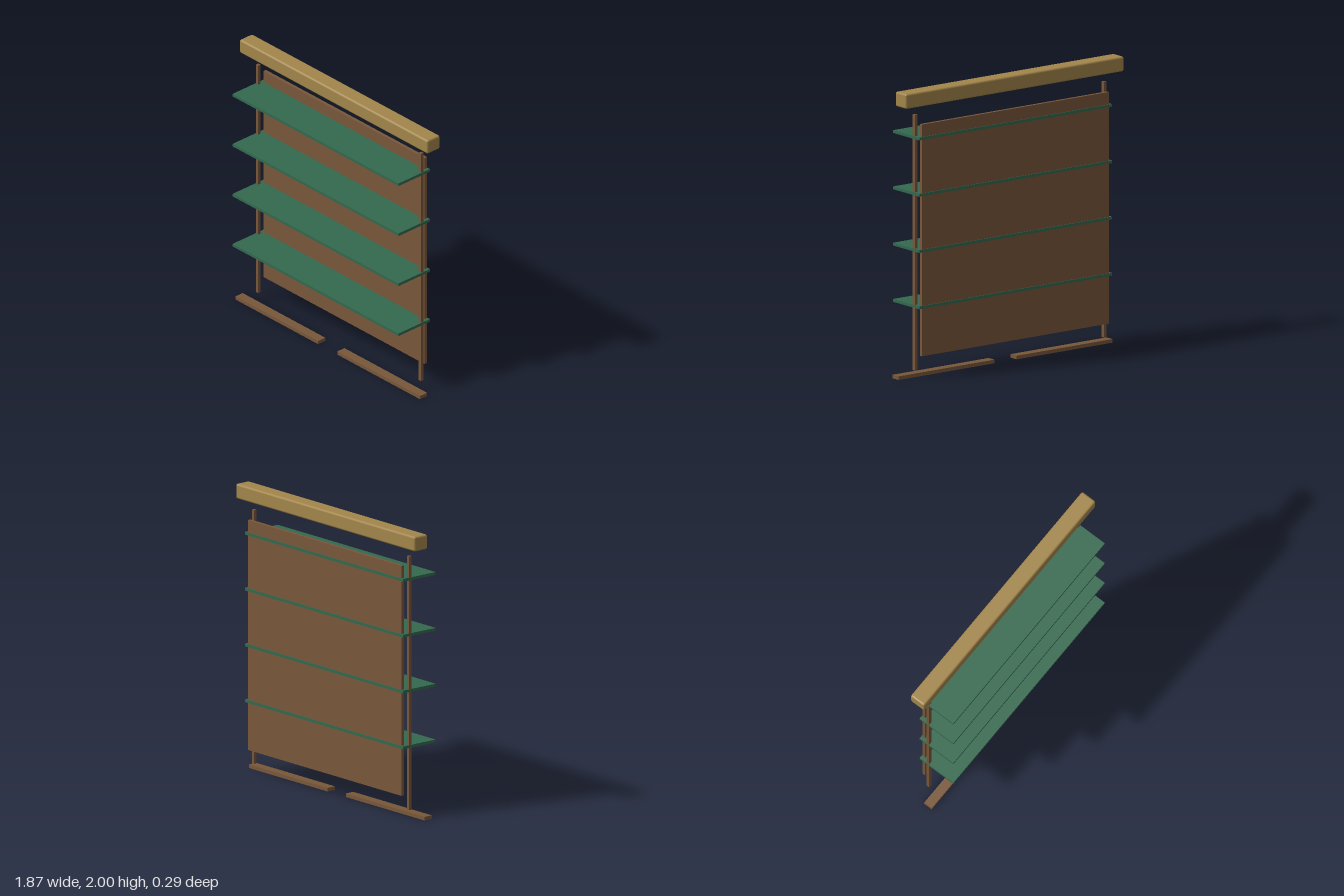
import * as THREE from 'three';
import { RoundedBoxGeometry } from 'three/addons/geometries/RoundedBoxGeometry.js';

export function createModel() {
  const model = new THREE.Group();
  model.name = 'wallShelf';

  const material = (name, color) => {
    const m = new THREE.MeshStandardMaterial({ color });
    m.name = name;
    return m;
  };
  const walnut = material('walnut brown', 0x78573a);
  const green = material('shelf green', 0x34694f);
  const brass = material('golden wood', 0xa3864b);

  const add = (name, geometry, mat, x, y, z) => {
    const mesh = new THREE.Mesh(geometry, mat);
    mesh.name = name;
    mesh.position.set(x, y, z);
    model.add(mesh);
  };
  const box = (w, h, d) => new THREE.BoxGeometry(w, h, d);

  // Softly rounded beam across the top
  add('topBeam', new RoundedBoxGeometry(1.874, 0.104, 0.118, 2, 0.014), brass, 0, 1.948, -0.078);

  // Thin back panel
  add('backPanel', box(1.604, 1.606, 0.023), walnut, 0, 0.97, -0.128);

  // Four evenly spaced shelves
  for (let i = 0; i < 4; i++) {
    add('shelf' + (i + 1), box(1.652, 0.02, 0.29), green, 0, 0.507 + i * 0.39, 0);
  }

  // Mirrored posts and floor rails
  for (const [side, s] of [['left', 1], ['right', -1]]) {
    add(side + 'Post', box(0.023, 1.772, 0.023), walnut, s * 0.811, 0.948, -0.077);
    add(side + 'FloorRail', box(0.823, 0.025, 0.066), walnut, s * 0.507, 0.0125, 0);
  }
  return model;
}
